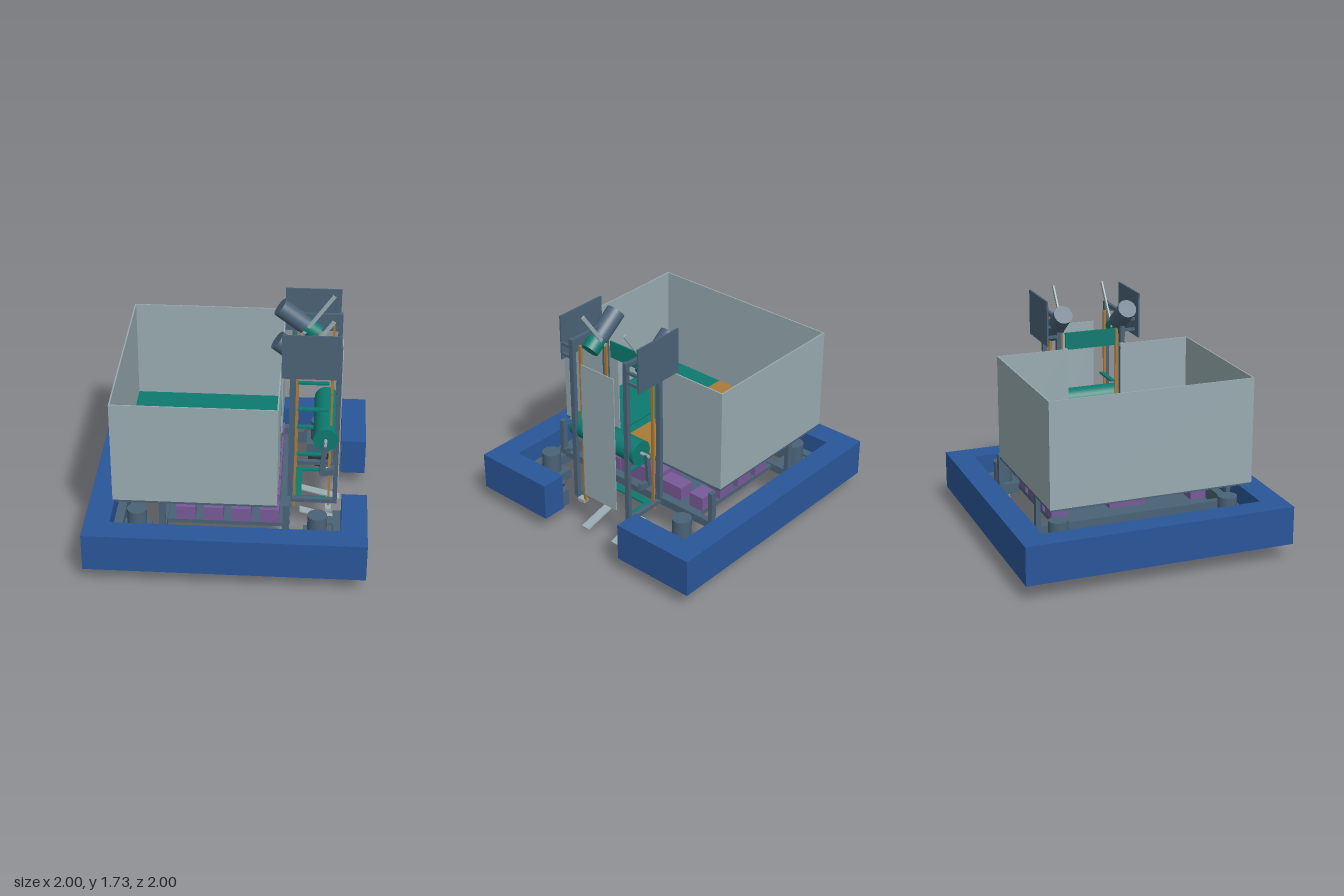
import * as THREE from 'three';

const mat = (name, color, side = THREE.FrontSide) => {
  const m = new THREE.MeshStandardMaterial({ color, side });
  m.name = name;
  return m;
};

export function createModel() {
  const model = new THREE.Group();
  model.name = 'hopperRobot';
  const blue = mat('bumper blue', 0x2a5699);
  const slate = mat('slate metal', 0x4a6276);
  const light = mat('pale sheet', 0x98abb1);
  const green = mat('teal', 0x0d7a70);
  const orange = mat('ochre', 0xa87b38);
  const purple = mat('electronics purple', 0x785a98);
  const black = mat('wheel black', 0x2c3136);

  const add = (name, geo, m, x, y, z) => {
    const mesh = new THREE.Mesh(geo, m);
    mesh.name = name;
    mesh.position.set(x, y, z);
    model.add(mesh);
    return mesh;
  };
  // box given by its limits on each axis
  const box = (name, m, x0, x1, y0, y1, z0, z1) => add(name,
    new THREE.BoxGeometry(x1 - x0, y1 - y0, z1 - z0), m, (x0 + x1) / 2, (y0 + y1) / 2, (z0 + z1) / 2);
  // the same box on both sides, z0 and z1 being the +z limits
  const pair = (name, m, x0, x1, y0, y1, z0, z1) => {
    box(name + 'Left', m, x0, x1, y0, y1, z0, z1);
    box(name + 'Right', m, x0, x1, y0, y1, -z1, -z0);
  };
  // flat bar between two points of the xy plane
  const bar = (name, m, a, b, width, depth, z) => {
    const dx = b[0] - a[0], dy = b[1] - a[1];
    const mesh = add(name, new THREE.BoxGeometry(Math.hypot(dx, dy), width, depth), m,
      (a[0] + b[0]) / 2, (a[1] + b[1]) / 2, z);
    mesh.rotation.z = Math.atan2(dy, dx);
    return mesh;
  };
  // cylinder between two points of the xy plane
  const rod = (name, m, a, b, r, z) => {
    const dx = b[0] - a[0], dy = b[1] - a[1];
    const mesh = add(name, new THREE.CylinderGeometry(r, r, Math.hypot(dx, dy), 32), m,
      (a[0] + b[0]) / 2, (a[1] + b[1]) / 2, z);
    mesh.rotation.z = Math.atan2(dy, dx) - Math.PI / 2;
  };
  // cylinder lying along z
  const axle = (name, m, r, length, x, y, z) => {
    add(name, new THREE.CylinderGeometry(r, r, length, 40), m, x, y, z).rotation.x = Math.PI / 2;
  };

  // C-shaped bumper, open at the intake side
  const c = new THREE.Shape([
    [-1, -1], [1, -1], [1, -0.36], [0.815, -0.36], [0.815, -0.82], [-0.82, -0.82],
    [-0.82, 0.82], [0.815, 0.82], [0.815, 0.36], [1, 0.36], [1, 1], [-1, 1],
  ].map(p => new THREE.Vector2(...p)));
  const bumper = add('bumper',
    new THREE.ExtrudeGeometry(c, { depth: 0.285, bevelEnabled: false }), blue, 0, 0.12, 0);
  bumper.rotation.x = -Math.PI / 2;

  // chassis rails and cross members
  pair('sideRail', slate, -0.82, 0.815, 0.13, 0.26, 0.755, 0.82);
  box('rearRail', slate, -0.82, -0.755, 0.13, 0.26, -0.755, 0.755);
  pair('frontRail', slate, 0.757, 0.815, 0.13, 0.26, 0.36, 0.755);
  box('crossBeamFront', slate, 0.4, 0.445, 0.25, 0.31, -0.755, 0.755);
  box('crossBeamRear', slate, -0.475, -0.43, 0.25, 0.31, -0.755, 0.755);
  box('bellyPan', slate, -0.43, 0.4, 0.27, 0.3, -0.6, 0.6);
  pair('railBracketFront', slate, 0.7, 0.757, 0.25, 0.262, 0.44, 0.53);
  pair('railBracketSide', slate, 0.445, 0.52, 0.25, 0.262, 0.7, 0.755);

  // drive modules: wheel, gearbox and upright motor
  for (const x of [-0.645, 0.645]) for (const z of [-0.645, 0.645]) {
    axle('wheel', black, 0.09, 0.06, x, 0.09, z);
    box('driveModule', slate, x - 0.1, x + 0.1, 0.17, 0.25, z - 0.1, z + 0.1);
    add('driveMotor', new THREE.CylinderGeometry(0.07, 0.07, 0.17, 32), slate, x, 0.328, z);
  }

  // battery under the pan, electronics on top of it
  box('batteryBox', slate, -0.33, 0.125, 0.11, 0.27, -0.105, 0.105);
  box('batteryEnd', purple, 0.125, 0.132, 0.12, 0.25, -0.09, 0.09);
  box('mainController', purple, -0.32, 0.11, 0.3, 0.52, -0.14, 0.14);
  box('powerBoard', purple, 0.13, 0.37, 0.3, 0.43, -0.19, 0.19);
  for (let i = 0; i < 4; i++) {
    const x = -0.3 + i * 0.2;
    pair('motorController' + i, purple, x - 0.07, x + 0.07, 0.3, 0.408, 0.48, 0.6);
  }
  pair('sideController', purple, 0.25, 0.37, 0.3, 0.405, 0.2, 0.4);

  // hopper: sheet walls, floor and belt
  pair('hopperSide', light, -0.8, 0.36, 0.555, 1.33, 0.745, 0.755);
  box('hopperBack', light, -0.8, -0.79, 0.555, 1.33, -0.745, 0.745);
  pair('hopperFront', light, 0.35, 0.36, 0.555, 1.33, 0.21, 0.745);
  pair('hopperFloor', green, -0.79, 0.35, 0.55, 0.562, 0.21, 0.745);
  box('hopperBelt', orange, -0.79, 0.35, 0.55, 0.564, -0.21, 0.21);
  pair('hopperFrameSide', slate, -0.78, 0.36, 0.535, 0.555, 0.715, 0.75);
  box('hopperFrameBack', slate, -0.78, -0.745, 0.535, 0.55, -0.715, 0.715);
  box('hopperFrameFront', slate, 0.325, 0.36, 0.535, 0.55, -0.715, 0.715);
  pair('hopperLegRear', slate, -0.475, -0.43, 0.31, 0.54, 0.715, 0.75);
  pair('hopperLegFront', slate, 0.4, 0.445, 0.31, 0.55, 0.715, 0.75);
  pair('hopperLip', light, 0.36, 0.385, 1.305, 1.33, 0.21, 0.24);

  // lift tower
  pair('towerPostRear', slate, 0.42, 0.455, 0.28, 1.56, 0.235, 0.27);
  pair('towerPostFront', slate, 0.752, 0.784, 0.28, 1.56, 0.235, 0.27);
  pair('towerTopBar', slate, 0.455, 0.752, 1.525, 1.555, 0.242, 0.268);
  pair('towerBaseBar', slate, 0.445, 0.784, 0.26, 0.29, 0.235, 0.27);
  pair('beltStripRear', orange, 0.463, 0.478, 0.2, 1.5, 0.21, 0.232);
  pair('beltStripFront', orange, 0.714, 0.73, 0.2, 1.5, 0.21, 0.232);
  pair('beltFoot', light, 0.7, 0.745, 0.19, 0.215, 0.215, 0.28);
  for (const y of [0.25, 0.63, 1.01]) pair('liftRung', green, 0.465, 0.7, y - 0.007, y + 0.007, 0.172, 0.205);
  box('lowerCrossStrip', green, 0.46, 0.52, 0.243, 0.257, -0.172, 0.172);
  box('upperCrossPlate', green, 0.435, 0.447, 1.3, 1.43, -0.2, 0.2);
  box('frontGuard', light, 0.786, 0.793, 0.325, 1.405, -0.155, 0.155);

  // intake roller with shaft
  axle('intakeRoller', green, 0.09, 0.61, 0.686, 0.825, 0);
  axle('rollerShaft', light, 0.012, 0.76, 0.686, 0.825, 0);

  for (const s of [-1, 1]) {
    // crank hanging from the roller shaft
    bar('crankArm', slate, [0.686, 0.835], [0.663, 0.575], 0.035, 0.025, s * 0.358);
    bar('crankFoot', slate, [0.655, 0.577], [0.755, 0.595], 0.045, 0.03, s * 0.35);
    box('crankLink', slate, 0.73, 0.757, 0.57, 0.59, s > 0 ? 0.26 : -0.35, s > 0 ? 0.35 : -0.26);
    // tilted motor, gearbox and swinging arm
    rod('armMotor', slate, [0.326, 1.602], [0.51, 1.464], 0.07, s * 0.252);
    rod('armGearbox', green, [0.51, 1.464], [0.6, 1.397], 0.066, s * 0.252);
    bar('swingArm', light, [0.5, 1.42], [0.715, 1.725], 0.028, 0.012, s * 0.195);
    // pickup fork near the ground
    bar('pickupFork', light, [0.51, 0.113], [0.81, 0.038], 0.01, 0.07, s * 0.147);
  }

  // upper side panels and their standoffs
  pair('sidePanel', slate, 0.363, 0.77, 1.36, 1.7, 0.355, 0.367);
  for (const x of [0.425, 0.755]) for (const y of [1.41, 1.49])
    pair('panelStandoff', slate, x, x + 0.02, y - 0.01, y + 0.01, 0.265, 0.356);

  return model;
}
